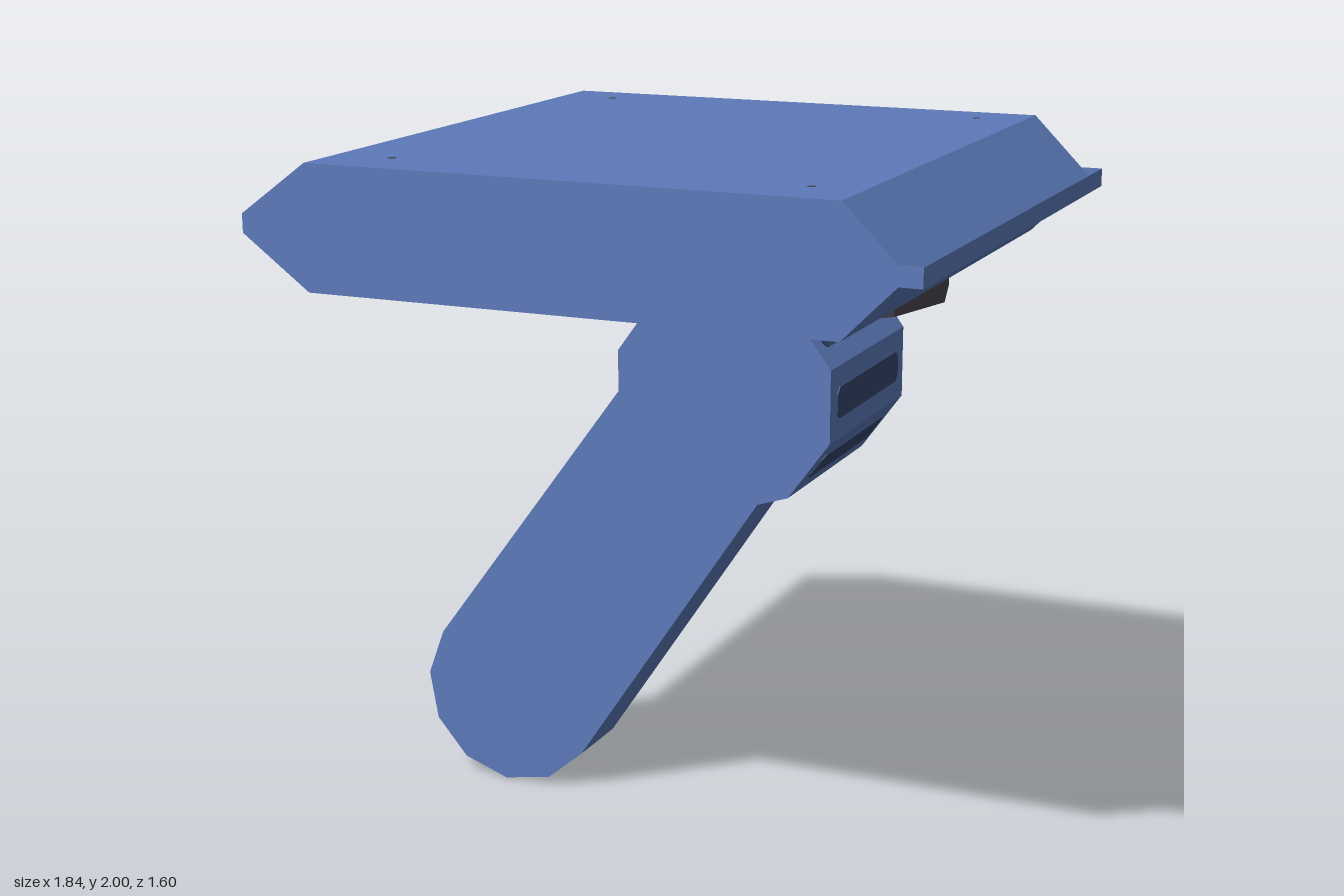
import * as THREE from 'three';

const flat = (color, name) => {
  const m = new THREE.MeshStandardMaterial({ color, flatShading: true });
  m.name = name;
  return m;
};

export function createModel() {
  const blue = flat(0x5c79b9, 'blue paint');
  const darkBlue = flat(0x35466b, 'dark blue recess');
  const dark = flat(0x48454c, 'dark metal');
  const model = new THREE.Group();

  const add = (parent, name, geo, mat, x = 0, y = 0, z = 0) => {
    const mesh = new THREE.Mesh(geo, mat);
    mesh.name = name;
    mesh.position.set(x, y, z);
    parent.add(mesh);
    return mesh;
  };
  // Extrude an xy outline between two z values
  const prism = (pts, z0, z1) => {
    const shape = new THREE.Shape(pts.map(p => new THREE.Vector2(...p)));
    return new THREE.ExtrudeGeometry(shape, { depth: z1 - z0, bevelEnabled: false }).translate(0, 0, z0);
  };
  const ring = (cx, cy, r, start, step, n) =>
    Array.from({ length: n }, (_, i) => {
      const a = THREE.MathUtils.degToRad(start + step * i);
      return [cx + r * Math.cos(a), cy + r * Math.sin(a)];
    });

  // Panel with a V groove along both long edges
  add(model, 'panel', prism([
    [-0.71, 1.67], [0.72, 1.67], [0.86, 1.81], [0.92, 1.81], [0.92, 1.86], [0.89, 1.83],
    [0.72, 2], [-0.71, 2], [-0.87, 1.84], [-0.9, 1.86], [-0.9, 1.81],
  ], -0.8, 0.8), blue);
  // Thin plates closing the groove ends
  for (const z of [-0.8, 0.796]) {
    add(model, 'grooveEndPlate', prism([[-0.9, 1.86], [-0.87, 1.84], [-0.71, 2]], z, z + 0.004), blue);
    add(model, 'grooveEndPlate', prism([[0.86, 1.86], [0.89, 1.83], [0.92, 1.86]], z, z + 0.004), blue);
  }
  // Screws at the panel corners
  for (const x of [-0.55, 0.585]) for (const z of [-0.67, 0.64]) {
    add(model, 'panelScrew', new THREE.CylinderGeometry(0.026, 0.026, 0.006, 8), dark, x, 1.669, z);
    add(model, 'panelScrewTip', new THREE.CylinderGeometry(0.011, 0.011, 0.004, 6), dark, x, 1.999, z);
  }

  // Turntable under the panel
  add(model, 'turntable', new THREE.CylinderGeometry(0.46, 0.46, 0.085, 12), dark, 0.225, 1.63, -0.107);

  // Flat locking wheel under the turntable
  add(model, 'lockingWheel', new THREE.CylinderGeometry(0.26, 0.26, 0.04, 10), dark, -0.015, 1.54, -0.13);
  add(model, 'lockingWheelHub', new THREE.CylinderGeometry(0.22, 0.22, 0.085, 10), dark, -0.015, 1.542, -0.13);

  // Hinge housing: solid front, open shell behind it
  const cx = 0.138, cy = 1.325, R = 0.325, wall = 0.04;
  const housing = new THREE.Group();
  housing.name = 'hingeHousing';
  model.add(housing);
  add(housing, 'housingFront', prism(ring(cx, cy, R, -90, 36, 10), -0.115, 0.11), blue);
  const outer = ring(cx, cy, R, -90, 36, 7);
  const inner = ring(cx, cy, R - wall, -90, 36, 7).reverse();
  add(housing, 'housingShell', prism([...outer, ...inner], -0.48, -0.115), blue);

  // Dark slots through each shell facet
  const w = 0.245, h = 0.043, c = 0.018;
  const slot = prism([
    [-w + c, -h], [w - c, -h], [w, -h + c], [w, h - c],
    [w - c, h], [-w + c, h], [-w, h - c], [-w, -h + c],
  ], -wall / 2 - 0.004, wall / 2 + 0.004).rotateY(Math.PI / 2);
  const apothem = R * Math.cos(Math.PI / 10) - wall / 2;
  for (let i = 0; i < 6; i++) {
    const a = THREE.MathUtils.degToRad(-72 + 36 * i);
    const s = add(housing, 'housingSlot', slot, darkBlue,
      cx + apothem * Math.cos(a), cy + apothem * Math.sin(a), -0.183);
    s.rotation.z = a;
  }

  // Tapered arm with rounded ends
  const low = [-0.64, 0.28], high = [0, 1.195];
  const tilt = THREE.MathUtils.radToDeg(Math.atan2(high[1] - low[1], high[0] - low[0]));
  add(model, 'arm', prism([
    ...ring(...low, 0.281, tilt + 90, 30, 7),
    ...ring(...high, 0.255, tilt - 90, 30, 7),
  ], -0.335, -0.115), blue);

  // Knobs on the back of both joints
  const knob = (name, [x, y], r) => {
    const g = new THREE.Group();
    g.name = name;
    g.position.set(x, y, -0.335);
    g.rotation.x = -Math.PI / 2;
    model.add(g);
    add(g, 'knobDisc', new THREE.CylinderGeometry(r, r, 0.075, 10), dark, 0, 0.0375, 0);
    add(g, 'knobBolt', new THREE.CylinderGeometry(0.085, 0.085, 0.136, 8), blue, 0, 0.068, 0);
    add(g, 'knobBoltCap', new THREE.CylinderGeometry(0.083, 0.083, 0.006, 8), dark, 0, 0.137, 0);
    for (let i = 0; i < 5; i++) {
      const a = (i / 5) * Math.PI * 2 + 0.3;
      const d = r * 0.68;
      const nub = add(g, 'knobNub', new THREE.BoxGeometry(0.07, 0.03, 0.07), dark,
        d * Math.cos(a), 0.08, d * Math.sin(a));
      nub.rotation.y = -a;
    }
  };
  knob('lowerKnob', low, 0.25);
  knob('upperKnob', high, 0.228);

  return model;
}
